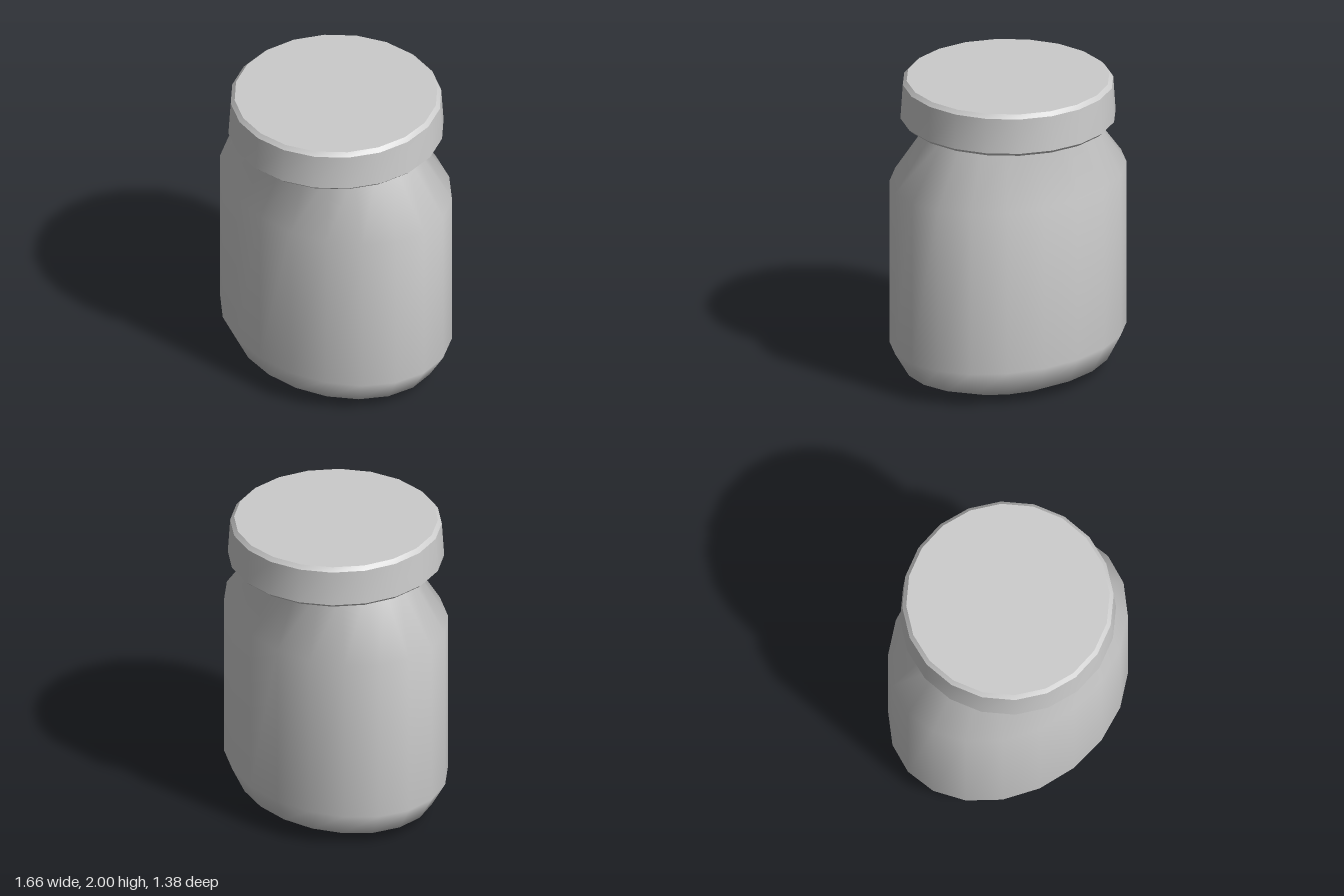
import * as THREE from 'three';
import { toCreasedNormals } from 'three/addons/utils/BufferGeometryUtils.js';

const SIDES = 20;

// Skin a stack of elliptical rings [radiusX, radiusZ, y], listed from bottom to top
function loft(rings) {
  const positions = [];
  const indices = [];
  for (const [rx, rz, y] of rings) {
    for (let j = 0; j < SIDES; j++) {
      const a = (j / SIDES) * Math.PI * 2;
      positions.push(rx * Math.cos(a), y, rz * Math.sin(a));
    }
  }
  for (let i = 0; i < rings.length - 1; i++) {
    for (let j = 0; j < SIDES; j++) {
      const k = (j + 1) % SIDES;
      const a = i * SIDES + j, b = i * SIDES + k;
      const c = a + SIDES, d = b + SIDES;
      // a ring of zero radius closes to a point, so one triangle is enough
      if (rings[i][0] > 0) indices.push(a, c, b);
      if (rings[i + 1][0] > 0) indices.push(b, c, d);
    }
  }
  const geometry = new THREE.BufferGeometry();
  geometry.setAttribute('position', new THREE.Float32BufferAttribute(positions, 3));
  geometry.setIndex(indices);
  geometry.computeVertexNormals();
  return geometry;
}

export function createModel() {
  const group = new THREE.Group();
  group.name = 'jar';
  const material = new THREE.MeshStandardMaterial({ color: 0xcccccc });

  const add = (name, geometry) => {
    const mesh = new THREE.Mesh(geometry, material);
    mesh.name = name;
    group.add(mesh);
  };

  // Flat oval base
  add('base', loft([[0, 0, 0], [0.52, 0.415, 0]]));

  // Smooth oval body: rounded foot, straight wall, sloping shoulder, flange under the lid
  add('body', loft([
    [0.52, 0.415, 0],
    [0.725, 0.58, 0.08],
    [0.83, 0.657, 0.25],
    [0.83, 0.657, 1.35],
    [0.555, 0.43, 1.72],
    [0.665, 0.665, 1.724],
  ]));

  // Round lid with bevelled rims and a slight taper
  add('lid', toCreasedNormals(loft([
    [0.665, 0.665, 1.722],
    [0.69, 0.69, 1.745],
    [0.675, 0.675, 1.975],
    [0.65, 0.65, 2],
    [0, 0, 2],
  ]), Math.PI / 7));

  return group;
}
